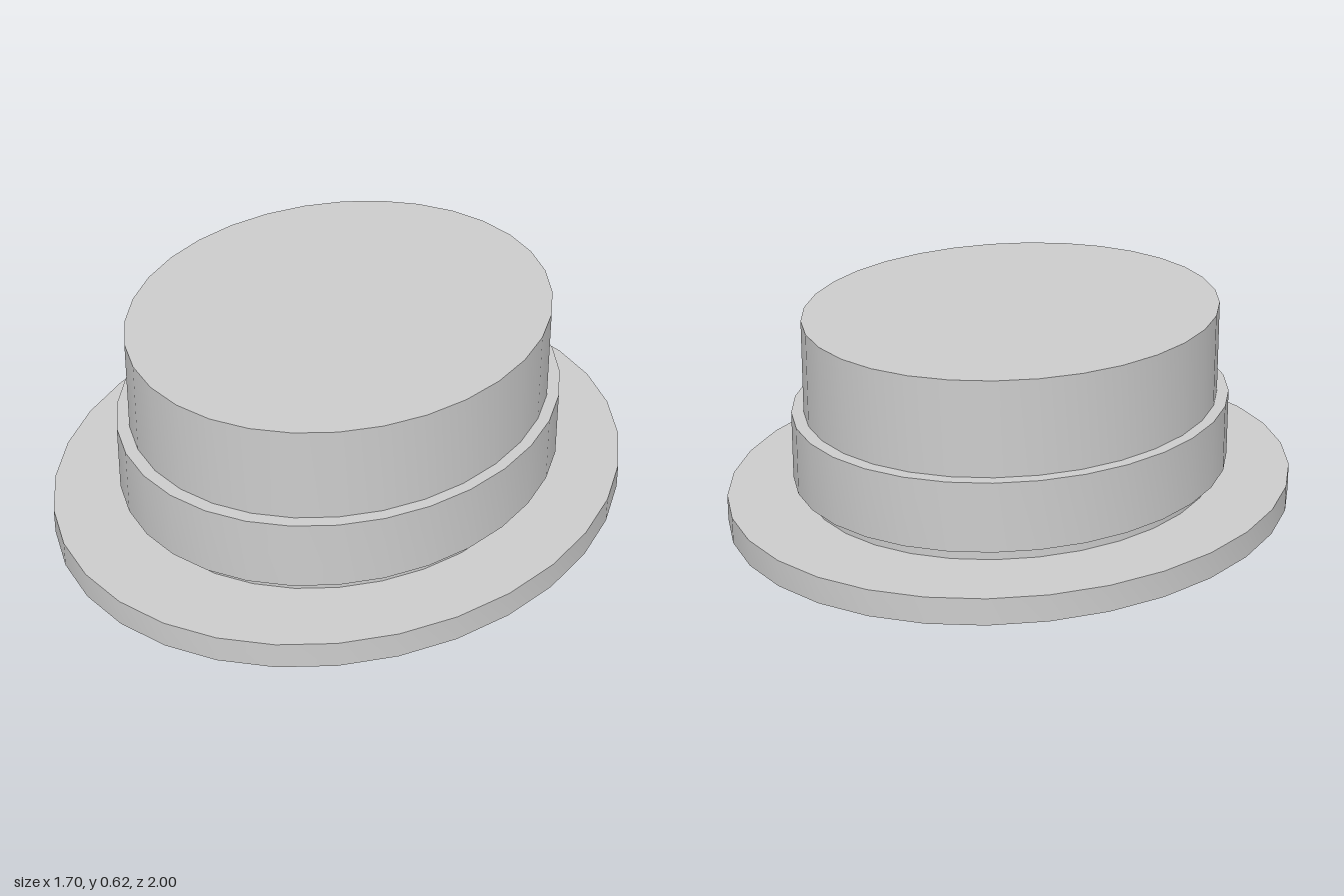
import * as THREE from 'three';
import { toCreasedNormals } from 'three/addons/utils/BufferGeometryUtils.js';

const SEGMENTS = 32;
const OVAL = 0.85; // width of the hat relative to its length

// Revolves a [radius, y] profile (bottom outward, up, then inward) into an oval part
function ovalPart(name, profile, material) {
  const points = profile.map(([r, y]) => new THREE.Vector2(r, y));
  const lathe = new THREE.LatheGeometry(points, SEGMENTS);
  lathe.scale(OVAL, 1, 1);
  const mesh = new THREE.Mesh(toCreasedNormals(lathe, 0.6), material);
  mesh.name = name;
  return mesh;
}

export function createModel() {
  const hat = new THREE.Group();
  hat.name = 'boaterHat';
  const material = new THREE.MeshStandardMaterial({ color: 0xcccccc });

  // Flat brim with the head opening
  hat.add(ovalPart('brim', [[0.66, 0], [1, 0], [1, 0.08], [0.7, 0.08]], material));

  // Hollow crown: inner ceiling, inner wall, outer wall, flat top
  hat.add(ovalPart('crown', [
    [0, 0.44], [0.66, 0.44], [0.66, 0],
    [0.73, 0.07], [0.73, 0.617], [0, 0.617],
  ], material));

  // Raised ribbon around the crown
  hat.add(ovalPart('ribbon', [[0.72, 0.12], [0.772, 0.12], [0.772, 0.33], [0.72, 0.33]], material));

  return hat;
}
